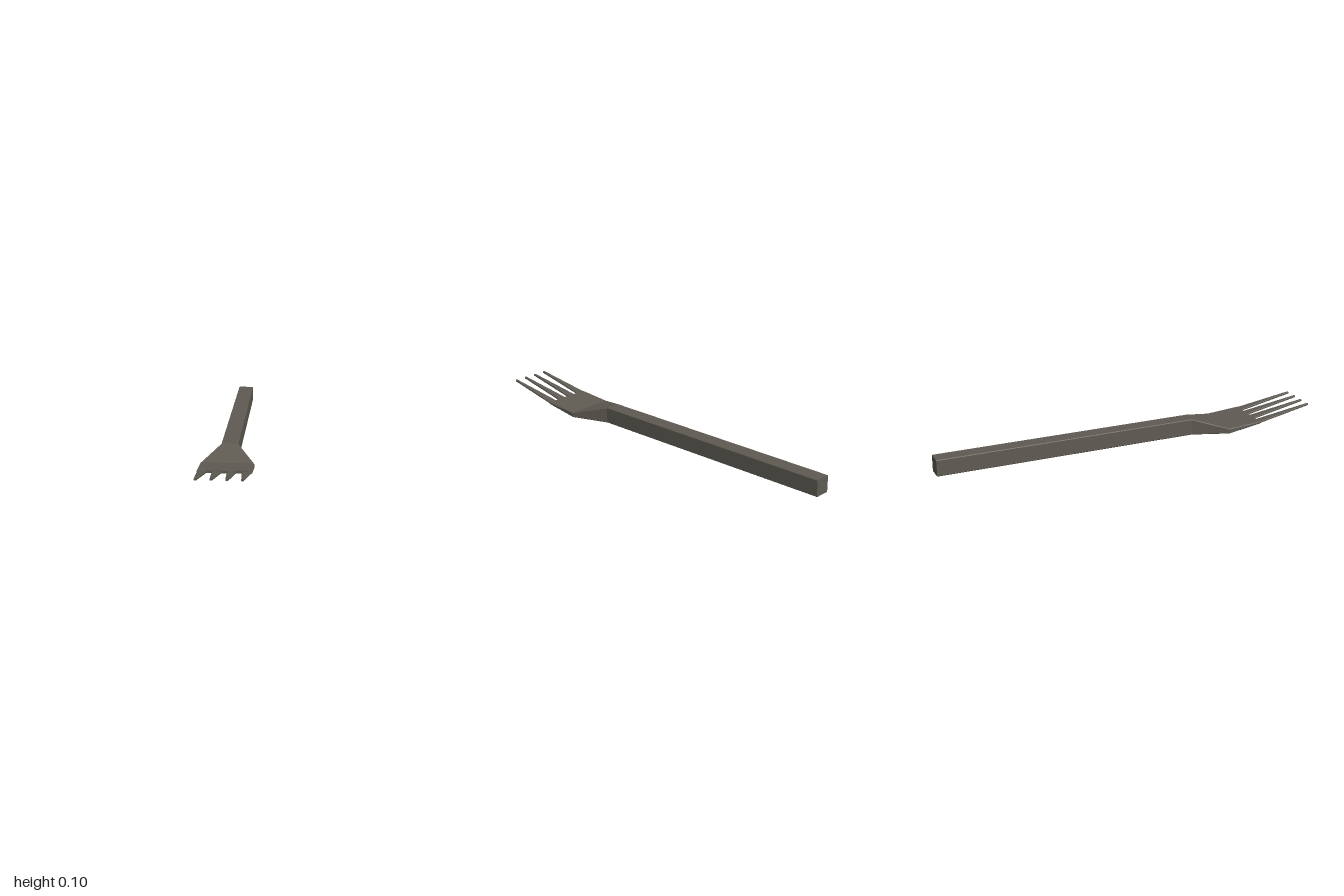
import * as THREE from 'three';

// Chamfered rectangle at depth z, counter-clockwise seen from the front
function section([z, halfWidth, bottom, top, c]) {
  const w = halfWidth;
  return [
    [w - c, bottom], [w, bottom + c], [w, top - c], [w - c, top],
    [c - w, top], [-w, top - c], [-w, bottom + c], [c - w, bottom],
  ].map(([x, y]) => [x, y, z]);
}

// Faceted solid through sections ordered from back to front
function loft(sections) {
  const rings = sections.map(section);
  const n = rings[0].length;
  const pos = [];
  const tri = (a, b, c) => pos.push(...a, ...b, ...c);
  for (let r = 0; r < rings.length - 1; r++) {
    const a = rings[r], b = rings[r + 1];
    for (let i = 0; i < n; i++) {
      const j = (i + 1) % n;
      tri(a[i], a[j], b[j]);
      tri(a[i], b[j], b[i]);
    }
  }
  const back = rings[0], front = rings[rings.length - 1];
  for (let i = 1; i < n - 1; i++) {
    tri(back[0], back[i + 1], back[i]);
    tri(front[0], front[i], front[i + 1]);
  }
  const geometry = new THREE.BufferGeometry();
  geometry.setAttribute('position', new THREE.Float32BufferAttribute(pos, 3));
  geometry.computeVertexNormals();
  return geometry;
}

export function createModel() {
  const fork = new THREE.Group();
  fork.name = 'fork';
  const metal = new THREE.MeshStandardMaterial({ color: 0x5f5b53 });
  metal.name = 'darkMetal';

  const add = (name, sections) => {
    const mesh = new THREE.Mesh(loft(sections), metal);
    mesh.name = name;
    fork.add(mesh);
    return mesh;
  };

  // Square handle flaring into the flat, upturned head
  // Each section: z, half width, bottom, top, chamfer
  add('handleAndHead', [
    [-1, 0.04, 0.001, 0.085, 0.003],
    [0.345, 0.04, 0.001, 0.085, 0.003],
    [0.52, 0.125, 0.01, 0.036, 0.003],
    [0.7, 0.125, 0.037, 0.049, 0.003],
  ]);

  // Four tapering tines
  for (let i = 0; i < 4; i++) {
    const tine = add('tine' + (i + 1), [
      [0.69, 0.023, 0.037, 0.046, 0.002],
      [1, 0.006, 0.09, 0.1, 0.002],
    ]);
    tine.position.x = -0.1 + i * 0.0667;
  }
  return fork;
}
